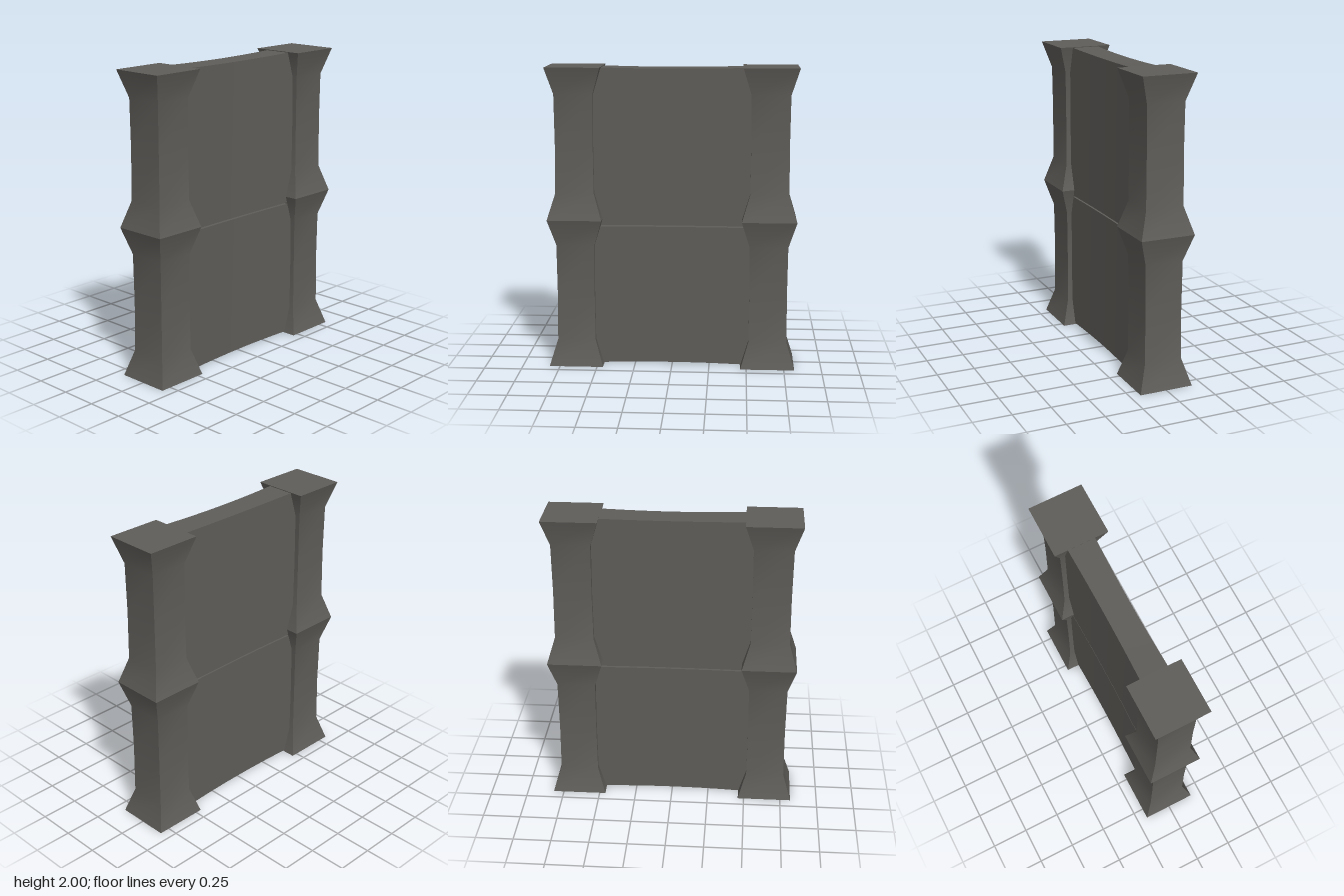
import * as THREE from 'three';

// Height, half width of a post along one storey (flared at both ends)
const PROFILE = [[0, 0.18], [0.175, 0.127], [0.5, 0.124], [0.825, 0.127], [1, 0.18]];

export function createModel() {
  const group = new THREE.Group();
  group.name = 'wallSection';
  const stone = new THREE.MeshStandardMaterial({ color: 0x5f5d59 });
  stone.name = 'dark stone';

  const add = (name, geometry, x, y) => {
    geometry.computeVertexNormals();
    const mesh = new THREE.Mesh(geometry, stone);
    mesh.name = name;
    mesh.position.set(x, y, 0);
    group.add(mesh);
  };

  // Square post: a box whose rings follow the flared profile
  const postGeometry = () => {
    const geometry = new THREE.BoxGeometry(2, 1, 2, 1, PROFILE.length - 1, 1);
    const p = geometry.attributes.position;
    for (let i = 0; i < p.count; i++) {
      const ring = Math.round((p.getY(i) + 0.5) * (PROFILE.length - 1));
      const [y, half] = PROFILE[ring];
      p.setXYZ(i, p.getX(i) * half, y, p.getZ(i) * half);
    }
    return geometry;
  };

  // Panel: thin slab, slightly hollowed towards the middle of its span
  const panelGeometry = (bottom, top, sagBottom, sagTop) => {
    const geometry = new THREE.BoxGeometry(1.1, 1, 2, 10, 1, 1);
    const p = geometry.attributes.position;
    for (let i = 0; i < p.count; i++) {
      const x = p.getX(i);
      const hollow = Math.max(0, 1 - (x / 0.5) ** 2);
      const y = p.getY(i) > 0 ? top - sagTop * hollow : bottom + sagBottom * hollow;
      p.setXYZ(i, x, y, p.getZ(i) * (0.093 - 0.008 * hollow));
    }
    return geometry;
  };

  // Two storeys of posts, mirrored left and right
  for (const [storey, y] of [['lower', 0], ['upper', 1]]) {
    for (const [side, s] of [['Left', 1], ['Right', -1]]) {
      add(`${storey}${side}Post`, postGeometry(), s * 0.64, y);
    }
  }

  // Panels, with a narrow slit between them
  add('lowerPanel', panelGeometry(0.005, 0.948, 0.008, 0), 0, 0);
  add('upperPanel', panelGeometry(0.958, 1.997, 0, 0.008), 0, 0);

  return group;
}
